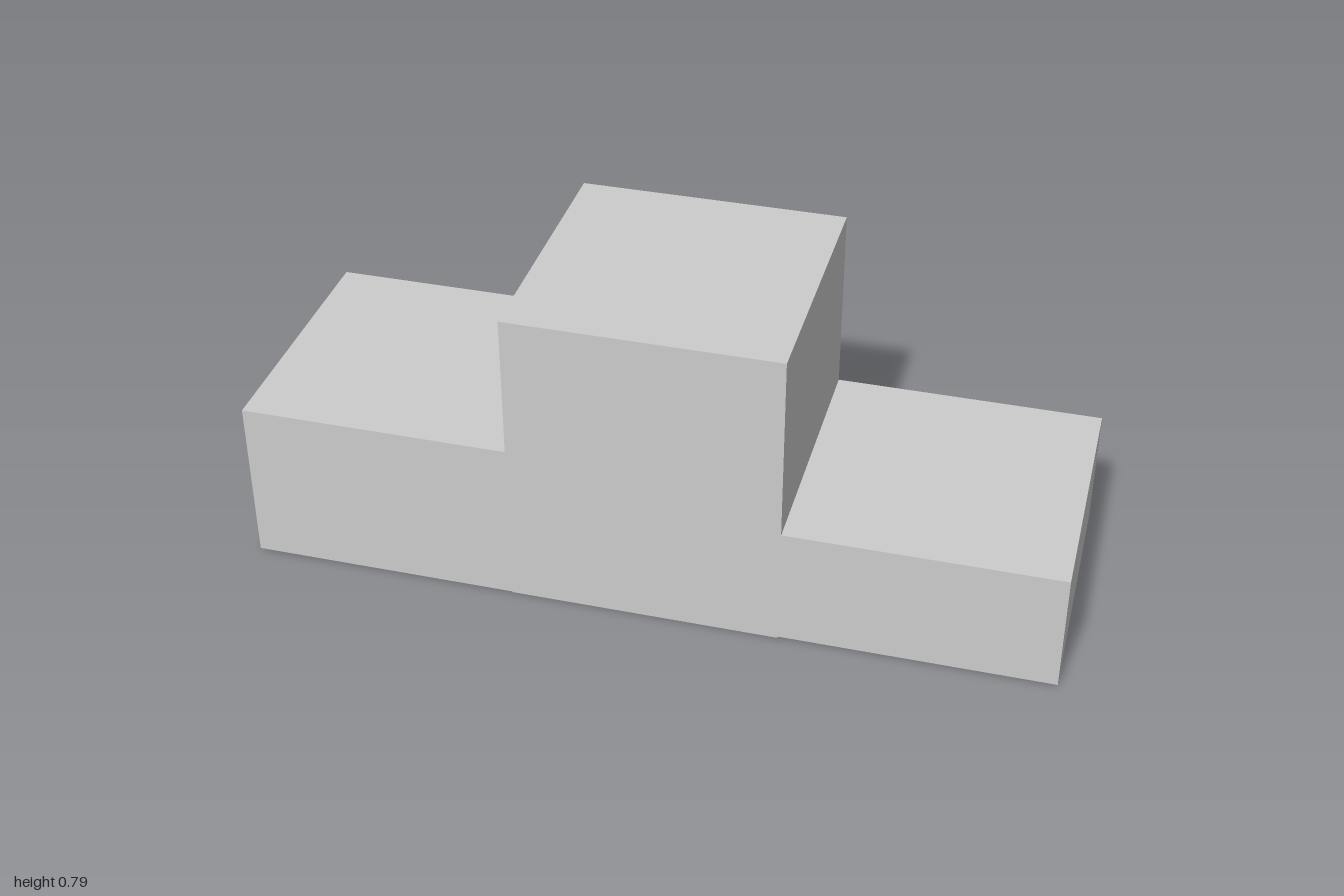
import * as THREE from 'three';

export function createModel() {
  const group = new THREE.Group();
  group.name = 'podium';
  const material = new THREE.MeshStandardMaterial({ color: 0xcccccc, flatShading: true });
  const size = 2 / 3; // square footprint of each block

  // Three blocks side by side: name, centre x, underside y, top y
  const blocks = [
    ['secondPlaceBlock', -size, 0.002, 0.423],
    ['firstPlaceBlock', 0, 0, 0.785],
    ['thirdPlaceBlock', size, 0.004, 0.31],
  ];
  for (const [name, x, bottom, top] of blocks) {
    const block = new THREE.Mesh(new THREE.BoxGeometry(size, top - bottom, size), material);
    block.name = name;
    block.position.set(x, (top + bottom) / 2, 0);
    group.add(block);
  }
  return group;
}
